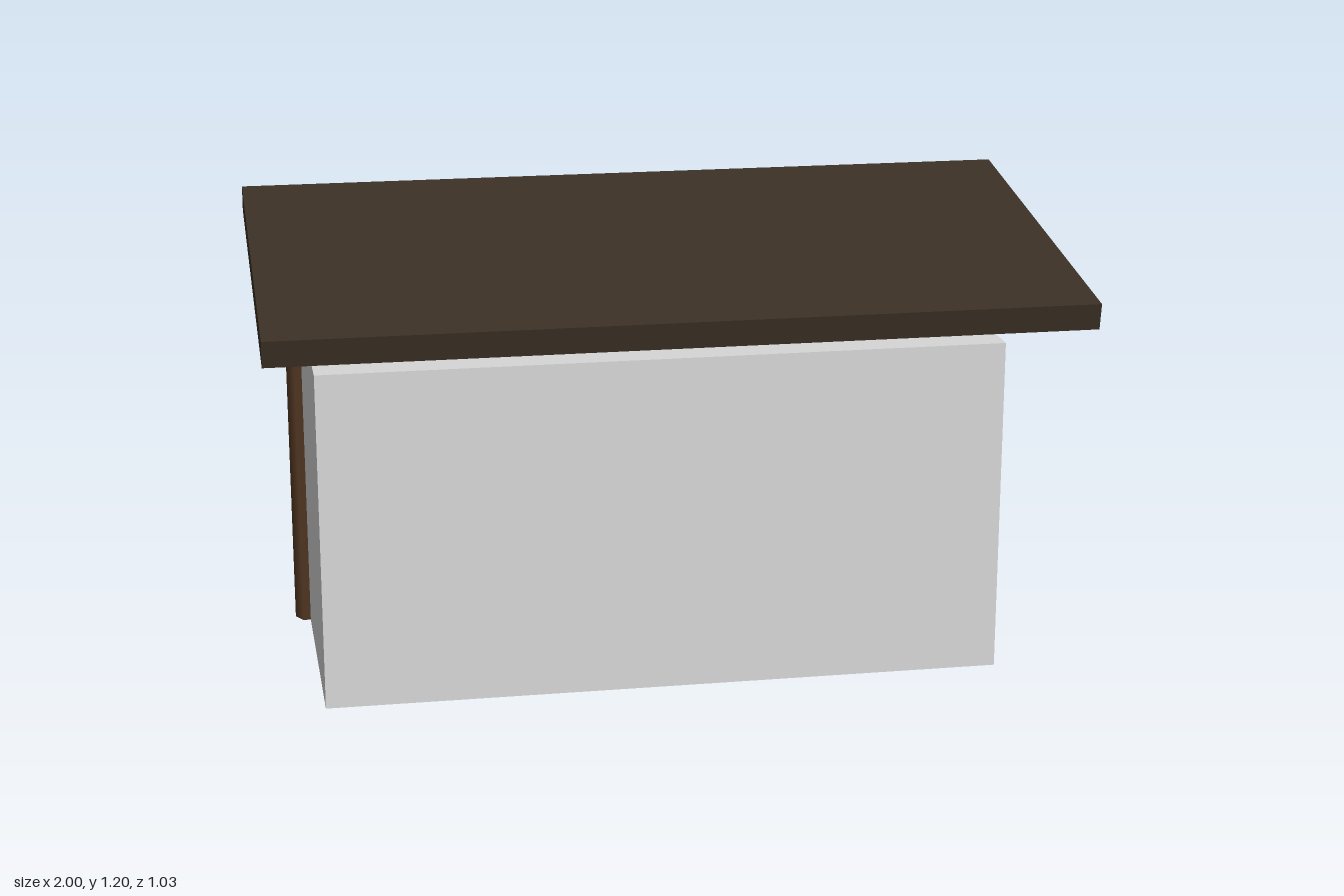
import * as THREE from 'three';

export function createModel() {
  const model = new THREE.Group();
  const roofMat = new THREE.MeshStandardMaterial({ name: 'dark roof', color: 0x3a3025 });
  const woodMat = new THREE.MeshStandardMaterial({ name: 'brown wood', color: 0x513622 });
  const wallMat = new THREE.MeshStandardMaterial({ name: 'light grey', color: 0xd6d6d6 });

  const halfWidth = 0.866, backZ = -0.481, frontZ = 0.187;

  function add(name, geometry, material, x, y, z) {
    const mesh = new THREE.Mesh(geometry, material);
    mesh.name = name;
    mesh.position.set(x, y, z);
    model.add(mesh);
    return mesh;
  }

  // Plain enclosed body
  const bodyHeight = 0.868;
  add('body', new THREE.BoxGeometry(halfWidth * 2, bodyHeight, frontZ - backZ), wallMat,
    0, bodyHeight / 2, (frontZ + backZ) / 2);

  // Hexagonal posts centred on the back corners
  const postHeight = 1.07;
  const postGeo = new THREE.CylinderGeometry(0.0385, 0.0385, postHeight, 6).rotateY(Math.PI / 6);
  for (const side of [-1, 1]) {
    add(side > 0 ? 'leftPost' : 'rightPost', postGeo, woodMat, side * halfWidth, postHeight / 2, backZ);
  }

  // Slab roof sloping down to the front
  const roof = add('roof', new THREE.BoxGeometry(2, 0.066, 1), roofMat, 0, 1.09, 0.018);
  roof.rotation.x = 0.15;

  return model;
}
